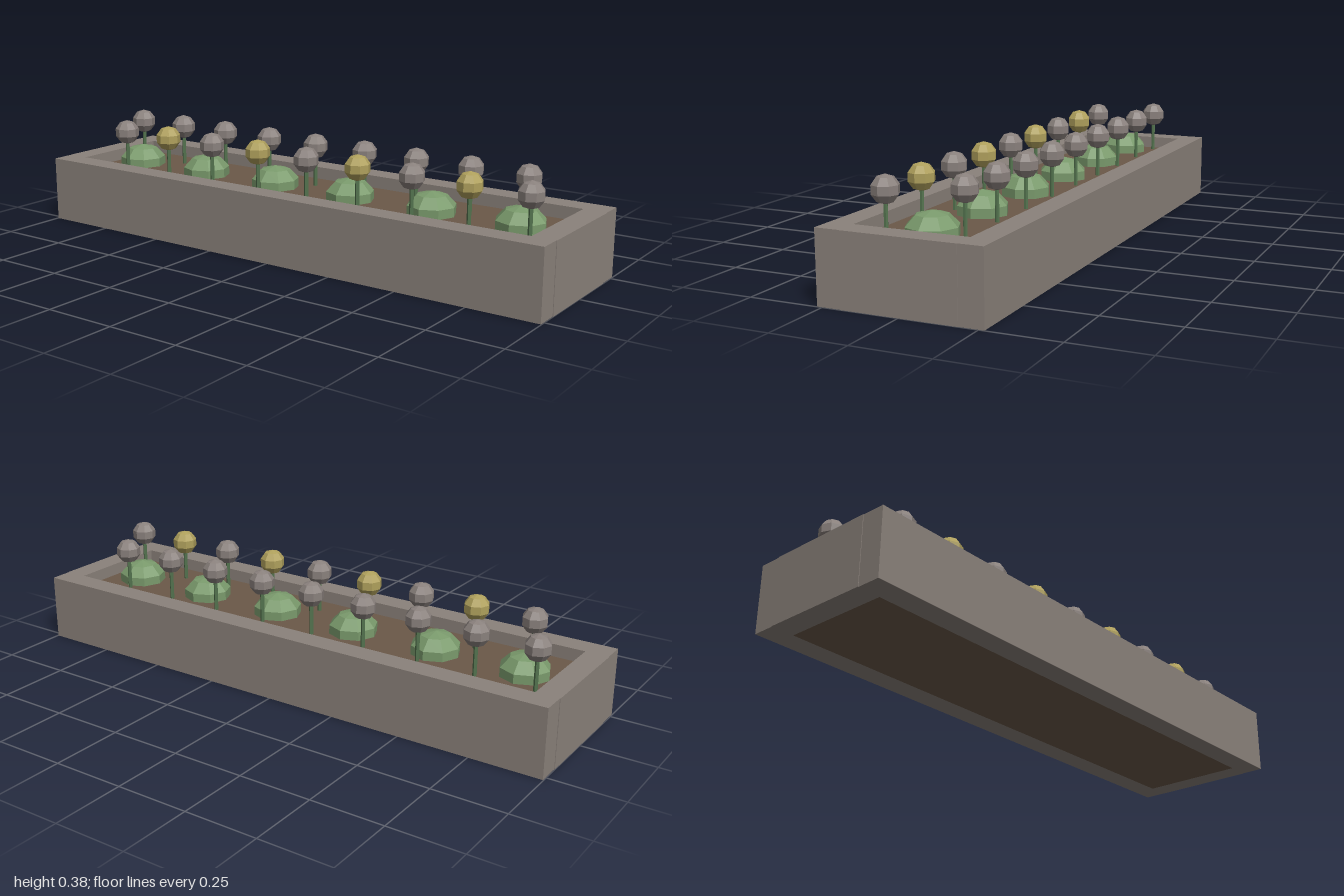
import * as THREE from 'three';

const material = (name, color) => {
  const m = new THREE.MeshStandardMaterial({ color, flatShading: true });
  m.name = name;
  return m;
};

export function createModel() {
  const stone = material('stone', 0x8b827b);
  const earth = material('earth', 0x6b5949);
  const leaf = material('leaf green', 0x7a9a6c);
  const stemGreen = material('stem green', 0x557550);
  const greyPetal = material('grey petal', 0x8a817d);
  const yellowPetal = material('yellow petal', 0xafa05c);

  const model = new THREE.Group();
  model.name = 'flowerPlanter';

  const add = (parent, name, geometry, mat, x, y, z) => {
    const mesh = new THREE.Mesh(geometry, mat);
    mesh.name = name;
    mesh.position.set(x, y, z);
    parent.add(mesh);
    return mesh;
  };

  // Stone walls: long boards front and back, short boards between them
  const height = 0.233, wall = 0.08, halfDepth = 0.268;
  const longWall = new THREE.BoxGeometry(1.996, height, wall);
  const endWall = new THREE.BoxGeometry(wall, height, 2 * (halfDepth - wall));
  for (const side of [1, -1]) {
    add(model, side > 0 ? 'frontWall' : 'backWall', longWall, stone, 0, height / 2, side * (halfDepth - wall / 2));
    add(model, side > 0 ? 'leftWall' : 'rightWall', endWall, stone, side * (1 - wall / 2), height / 2, 0);
  }

  // Soil filling the trough down to the ground
  const soilTop = 0.19;
  const soil = new THREE.BoxGeometry(2 * (1 - wall), soilTop, 2 * (halfDepth - wall));
  add(model, 'soil', soil, earth, 0, soilTop / 2, 0);

  // Row of low bushes along the middle
  const bush = new THREE.SphereGeometry(0.088, 8, 5).scale(1, 0.77, 1);
  for (let i = 0; i < 6; i++) add(model, 'bush', bush, leaf, -0.8 + i * 0.319, 0.2, 0);

  // Ball flowers, alternating between the back and front rows
  const headY = 0.334;
  const head = new THREE.SphereGeometry(0.045, 8, 5);
  const stemLength = headY - 0.03 - soilTop;
  const stem = new THREE.CylinderGeometry(0.007, 0.007, stemLength, 6, 1, true);
  for (let i = 0; i < 18; i++) {
    const flower = new THREE.Group();
    flower.name = 'flower';
    flower.position.set(-0.88 + i * 0.1033, 0, i % 2 ? 0.106 : -0.095);
    add(flower, 'stem', stem, stemGreen, 0, soilTop + stemLength / 2, 0);
    add(flower, 'flowerHead', head, i % 4 === 3 ? yellowPetal : greyPetal, 0, headY, 0);
    model.add(flower);
  }

  return model;
}
